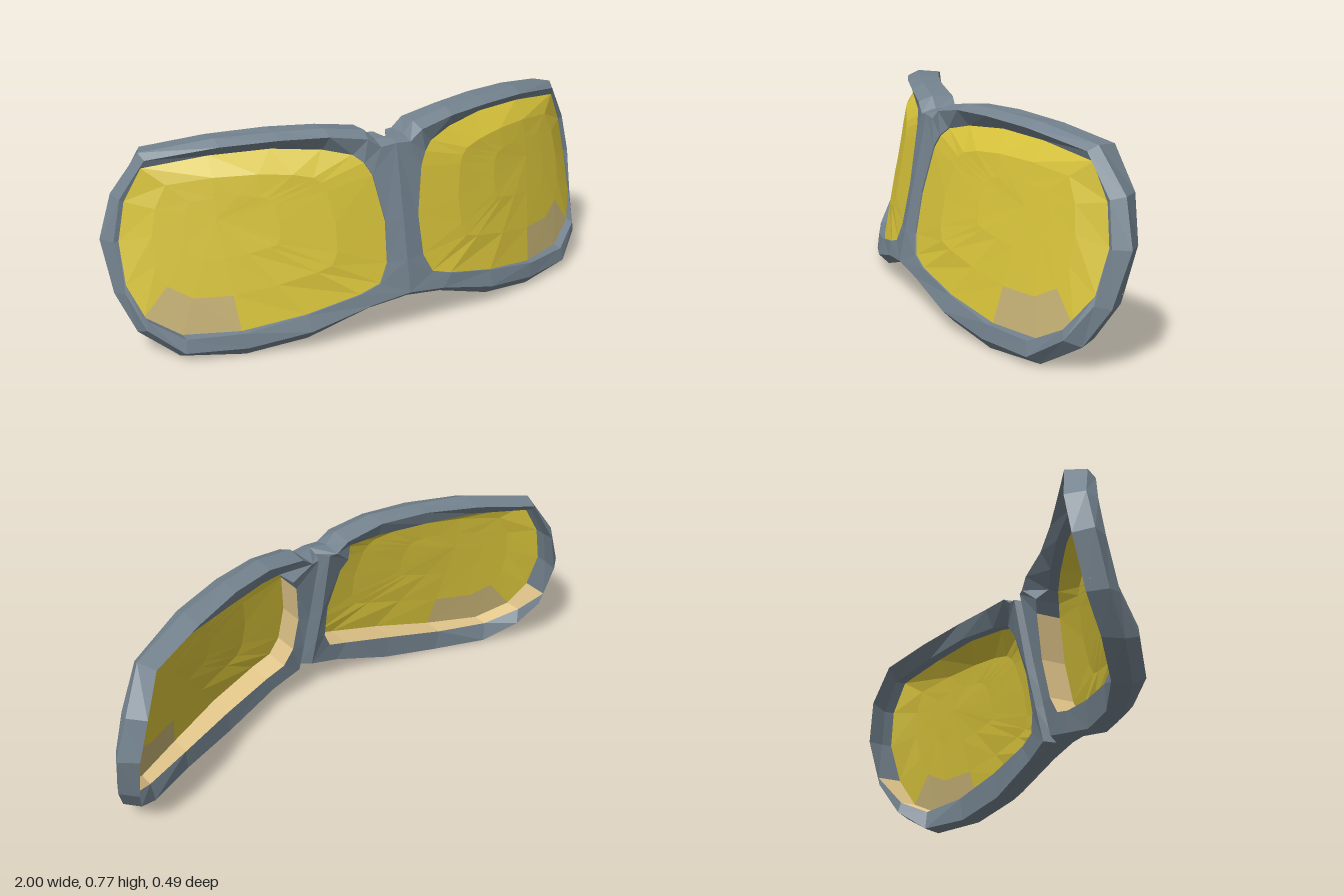
import * as THREE from 'three';

const mat = (name, color, side = THREE.FrontSide) => {
  const m = new THREE.MeshStandardMaterial({ color, side, flatShading: true });
  m.name = name;
  return m;
};

// Cross-section rings of the left half, clockwise from the top of the bridge
const opening = [
  [.10, .59, .145], [.125, .635, .13], [.16, .665, .11], [.26, .69, .07], [.43, .705, .01], [.64, .70, -.045],
  [.86, .67, -.115], [.92, .55, -.14], [.95, .41, -.135], [.95, .26, -.09], [.91, .15, 0], [.80, .085, .075],
  [.61, .09, .14], [.39, .13, .19], [.19, .175, .22], [.11, .20, .22], [.075, .27, .208], [.068, .42, .18],
];
const frontEdge = [
  [0, .69, .137], [.06, .685, .135], [.11, .72, .13], [.25, .745, .11], [.42, .75, .07], [.62, .74, .005],
  [.85, .70, -.10], [.935, .56, -.14], [.968, .41, -.135], [.955, .23, -.085], [.915, .115, 0], [.81, .035, .08],
  [.60, .035, .15], [.38, .07, .21], [.15, .13, .235], [0, .15, .245], [0, .27, .222], [0, .42, .192],
];
const outerEdge = [
  [0, .70, .10], [.06, .70, .08], [.10, .74, .08], [.25, .765, .065], [.42, .767, .02], [.62, .76, -.04],
  [.86, .72, -.135], [.95, .57, -.19], [1, .41, -.19], [.98, .22, -.135], [.93, .09, -.06], [.81, .005, .03],
  [.60, 0, .12], [.38, .03, .17], [.15, .105, .20], [0, .13, .22], [0, .27, .20], [0, .42, .17],
];
const backEdge = [
  [.025, .70, .01], [.055, .70, .005], [.10, .735, 0], [.25, .76, -.01], [.42, .765, -.055], [.62, .75, -.125],
  [.83, .715, -.205], [.90, .57, -.245], [.94, .41, -.24], [.93, .22, -.19], [.89, .10, -.12], [.79, .01, -.035],
  [.60, 0, .05], [.38, .03, .10], [.15, .105, .13], [.03, .14, .13], [.03, .27, .10], [.03, .42, .065],
];
const N = opening.length;

// The back of the bridge is cut by a narrow groove on the centre line
const groove = backEdge.slice();
groove[0] = [0, .69, .065];
groove[15] = [0, .13, .17];
groove[16] = [0, .27, .145];
groove[17] = [0, .42, .115];

// The opening is deep at the bottom and nose side, shallow along the top and outer side
const backOpening = opening.map(([x, y, z], i) => [x, y, z - (i > 1 && i < 9 ? .045 : .10)]);

// Wrapped, tilted surface that the lens follows
const lensZ = (x, y) => .268 - .19 * y - .33 * Math.pow(x, 1.8);
const lensEdge = opening.map(([x, y, z]) => [x, y, Math.min(lensZ(x, y), z - .005)]);
const lensRing = t => lensEdge.map(([ex, ey]) => {
  const x = .65 + (ex - .65) * t, y = .49 + (ey - .49) * t;
  return [x, y, lensZ(x, y)];
});

// Quads between two rings, for the segments that pass the test
function strip(a, b, keep = () => true) {
  const out = [];
  for (let i = 0; i < N; i++) {
    if (!keep(i)) continue;
    const j = (i + 1) % N;
    out.push(a[i], a[j], b[j], a[i], b[j], b[i]);
  }
  return out;
}

// Triangles to a mesh; side -1 mirrors it and flips the winding
function build(name, tris, side, material) {
  const pos = [];
  for (let i = 0; i < tris.length; i += 3) {
    const order = side > 0 ? [0, 1, 2] : [0, 2, 1];
    for (const k of order) {
      const [x, y, z] = tris[i + k];
      pos.push(x * side, y, z);
    }
  }
  const g = new THREE.BufferGeometry();
  g.setAttribute('position', new THREE.Float32BufferAttribute(pos, 3));
  g.computeVertexNormals();
  const mesh = new THREE.Mesh(g, material);
  mesh.name = name;
  return mesh;
}

export function createModel() {
  const frameMat = mat('slate frame', 0x74838f);
  const lensMat = mat('yellow lens', 0xd6c23a, THREE.DoubleSide);
  const linerMat = mat('tan liner', 0xe2c68a, THREE.DoubleSide);
  const patchMat = mat('dull tan patch', 0xc4b074, THREE.DoubleSide);

  const outside = i => i < 15;              // the bridge joins at the middle
  const grooved = i => i >= 14 || i === 0;
  const lined = i => i >= 9;                // lower and nose side of the opening
  const patched = i => i === 10 || i === 11;

  const frame = [
    ...strip(opening, frontEdge),
    ...strip(frontEdge, outerEdge, outside),
    ...strip(outerEdge, groove, outside),
    ...strip(groove, backEdge, grooved),
    ...strip(backEdge, backOpening),
    ...strip(lensEdge, opening),
    ...strip(backOpening, lensEdge, i => !lined(i)),
  ];
  const liner = strip(backOpening, lensEdge, lined);

  // Lens rings from the middle out to the frame
  const rings = [lensRing(0), lensRing(.35), lensRing(.68), lensEdge];
  const lens = [
    ...strip(rings[0], rings[1]),
    ...strip(rings[1], rings[2]),
    ...strip(rings[2], rings[3], i => !patched(i)),
  ];
  const patch = strip(rings[2], rings[3], patched);

  const model = new THREE.Group();
  model.name = 'goggles';
  for (const [label, side] of [['left', 1], ['right', -1]]) {
    const half = new THREE.Group();
    half.name = `${label}Half`;
    half.add(
      build(`${label}Frame`, frame, side, frameMat),
      build(`${label}Liner`, liner, side, linerMat),
      build(`${label}Lens`, lens, side, lensMat),
      build(`${label}LensPatch`, patch, side, patchMat),
    );
    model.add(half);
  }
  return model;
}
